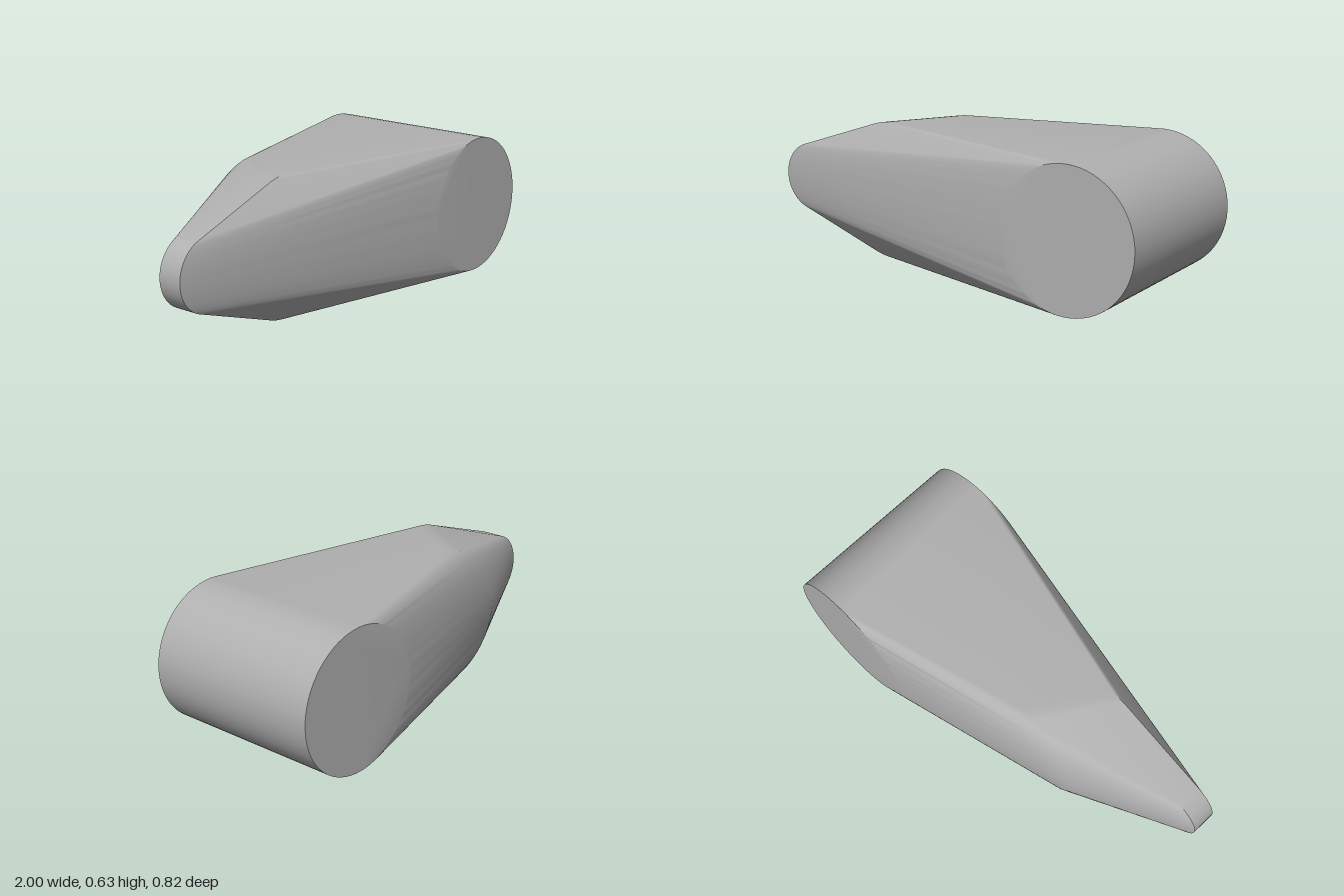
import * as THREE from 'three';
import { ConvexGeometry } from 'three/addons/geometries/ConvexGeometry.js';
import { toCreasedNormals } from 'three/addons/utils/BufferGeometryUtils.js';

const MID_Y = 0.314;
const SEGMENTS = 64;

// Ring of points around an axis along z; tilt pushes the ring's sides in z
function ring(x, z, radius, tilt = 0) {
  const points = [];
  for (let i = 0; i < SEGMENTS; i++) {
    const a = (i / SEGMENTS) * Math.PI * 2;
    const c = Math.cos(a);
    points.push(new THREE.Vector3(x + radius * c, MID_Y + radius * Math.sin(a), z + tilt * c));
  }
  return points;
}

export function createModel() {
  const group = new THREE.Group();
  group.name = 'taperedBody';

  const grey = new THREE.MeshStandardMaterial({ color: 0xb0b0b0 });
  grey.name = 'grey';

  // One skin stretched over the wide round end, the skewed middle and the narrow tip
  const points = [
    ...ring(0.686, 0.41, 0.314),
    ...ring(0.686, -0.41, 0.314),
    ...ring(-0.37, 0.155, 0.314),
    ...ring(-0.17, -0.168, 0.314, 0.032),
    ...ring(-0.84, 0.155, 0.16),
    ...ring(-0.84, 0.045, 0.16),
  ];
  const skin = toCreasedNormals(new ConvexGeometry(points), THREE.MathUtils.degToRad(30));

  const body = new THREE.Mesh(skin, grey);
  body.name = 'body';
  group.add(body);
  return group;
}
